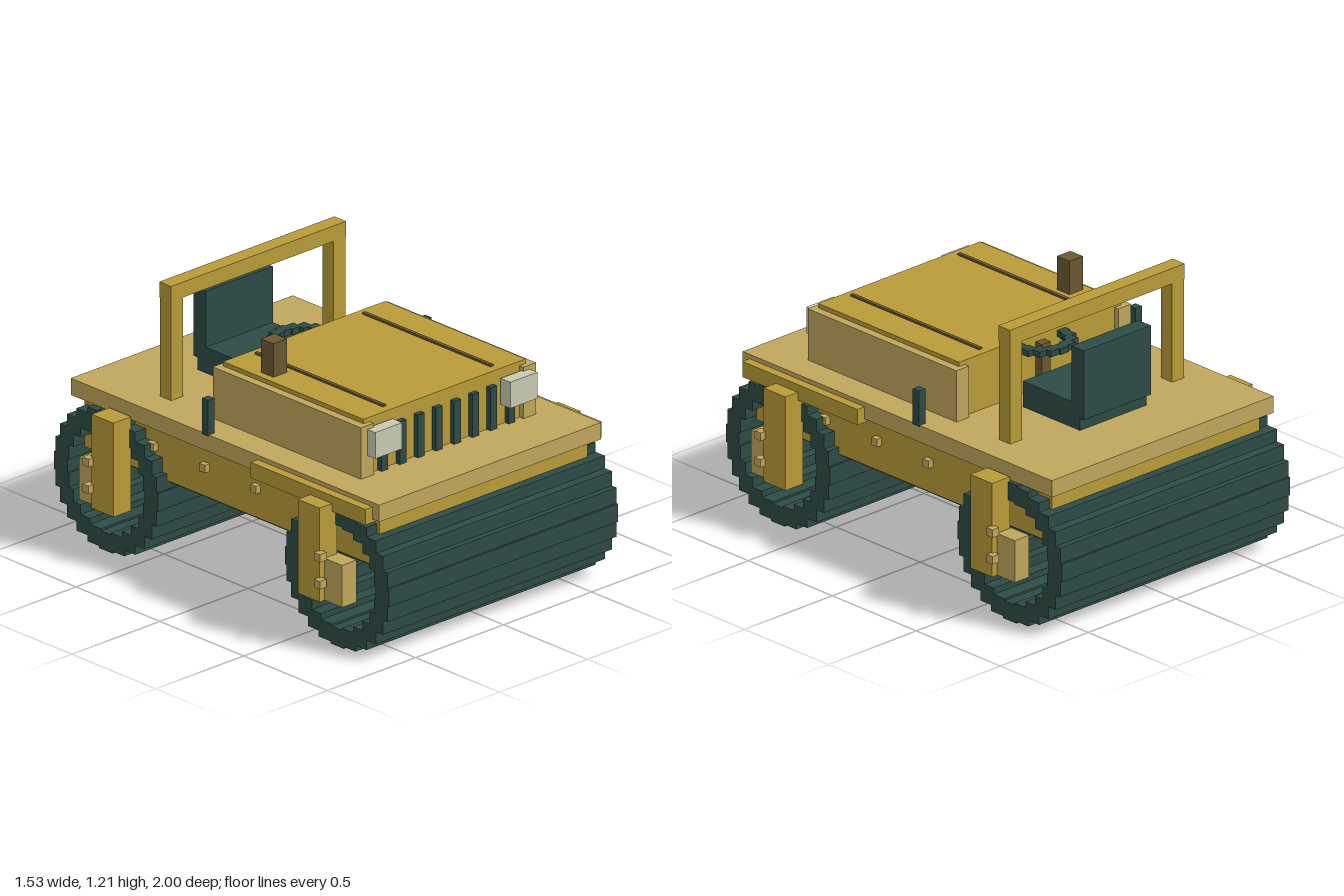
import * as THREE from 'three';

const mat = (name, color) => {
  const m = new THREE.MeshStandardMaterial({ color });
  m.name = name;
  return m;
};

export function createModel() {
  const gold = mat('gold paint', 0xb99b38);
  const tan = mat('tan paint', 0xc0a65c);
  const green = mat('dark green', 0x2d4b46);
  const brown = mat('brown', 0x6a5832);
  const pale = mat('pale lamp', 0xc8cab2);

  const model = new THREE.Group();
  model.name = 'roadRoller';

  // Box given by its extents on each axis
  const box = (name, m, [x0, x1], [y0, y1], [z0, z1], parent = model) => {
    const mesh = new THREE.Mesh(new THREE.BoxGeometry(x1 - x0, y1 - y0, z1 - z0), m);
    mesh.position.set((x0 + x1) / 2, (y0 + y1) / 2, (z0 + z1) / 2);
    mesh.name = name;
    parent.add(mesh);
    return mesh;
  };
  // The same box on both sides
  const pair = (name, m, [x0, x1], y, z) => {
    box(name + 'Left', m, [x0, x1], y, z);
    box(name + 'Right', m, [-x1, -x0], y, z);
  };
  const around = (c, size) => [c - size / 2, c + size / 2];

  // Chassis and deck
  box('chassis', gold, [-0.59, 0.59], [0.39, 0.62], [-0.88, 0.88]);
  box('underPlate', brown, [-0.57, 0.57], [0.375, 0.39], [-0.86, 0.86]);
  box('deck', tan, [-0.63, 0.63], [0.62, 0.695], [-0.92, 0.92]);
  pair('sideRail', gold, [0.58, 0.67], [0.605, 0.675], [0.195, 0.88]);
  for (const z of [-0.46, -0.153, 0.153, 0.46])
    pair('chassisBolt', tan, [0.58, 0.615], around(0.525, 0.035), around(z, 0.035));

  // Hollow drums: upright square bars set in a ring
  for (const s of [1, -1]) {
    const drum = new THREE.Group();
    drum.name = s > 0 ? 'frontDrum' : 'rearDrum';
    model.add(drum);
    for (let i = 0; i < 24; i++) {
      const a = (i / 24) * Math.PI * 2;
      box('drumBar', green, [-0.65, 0.65], around(0.31 + 0.27 * Math.cos(a), 0.08),
        around(s * 0.69 + 0.27 * Math.sin(a), 0.08), drum);
    }
    // Drum supports with bolts
    const span = (a, b) => (s > 0 ? [a, b] : [-b, -a]);
    pair('drumArm', gold, [0.64, 0.74], [0.22, 0.64], span(0.55, 0.68));
    pair('bearingPlate', tan, [0.63, 0.712], [0.22, 0.408], span(0.56, 0.785));
    for (const y of [0.31, 0.43])
      pair('armBolt', tan, [0.727, 0.765], around(y, 0.036), around(s * 0.69, 0.036));
  }

  // Engine hood
  box('hood', gold, [-0.46, 0.46], [0.695, 0.945], [-0.19, 0.648]);
  pair('hoodSide', tan, [0.425, 0.497], [0.695, 0.925], [-0.213, 0.672]);
  pair('hoodStrip', brown, [0.297, 0.313], [0.94, 0.954], [-0.155, 0.61]);
  box('exhaust', brown, [-0.425, -0.348], [0.94, 1.095], [-0.002, 0.073]);
  for (let i = 0; i < 8; i++)
    box('grilleSlat', green, around(-0.361 + i * 0.1031, 0.037), [0.695, 0.887], [0.64, 0.671]);
  pair('headlight', pale, [0.307, 0.46], [0.79, 0.907], [0.66, 0.718]);

  // Seat
  box('seatCushion', green, [-0.19, 0.19], [0.695, 0.81], [-0.627, -0.287]);
  box('seatBack', green, [-0.19, 0.19], [0.75, 1.06], [-0.652, -0.577]);

  // Steering wheel on its column
  box('steeringColumn', brown, [-0.025, 0.025], [0.695, 0.905], [-0.228, -0.18]);
  const wheel = new THREE.Group();
  wheel.name = 'steeringWheel';
  model.add(wheel);
  for (let i = 0; i < 16; i++) {
    const a = (i / 16) * Math.PI * 2;
    box('wheelBlock', green, around(0.121 * Math.cos(a), 0.048), [0.893, 0.92],
      around(-0.194 + 0.121 * Math.sin(a), 0.048), wheel);
  }

  // Control levers and roll bar
  pair('lever', green, [0.598, 0.634], [0.69, 0.85], [-0.134, -0.096]);
  pair('rollBarPost', gold, [0.427, 0.494], [0.695, 1.14], [-0.53, -0.464]);
  box('rollBarTop', gold, [-0.497, 0.497], [1.138, 1.207], [-0.532, -0.462]);

  return model;
}
